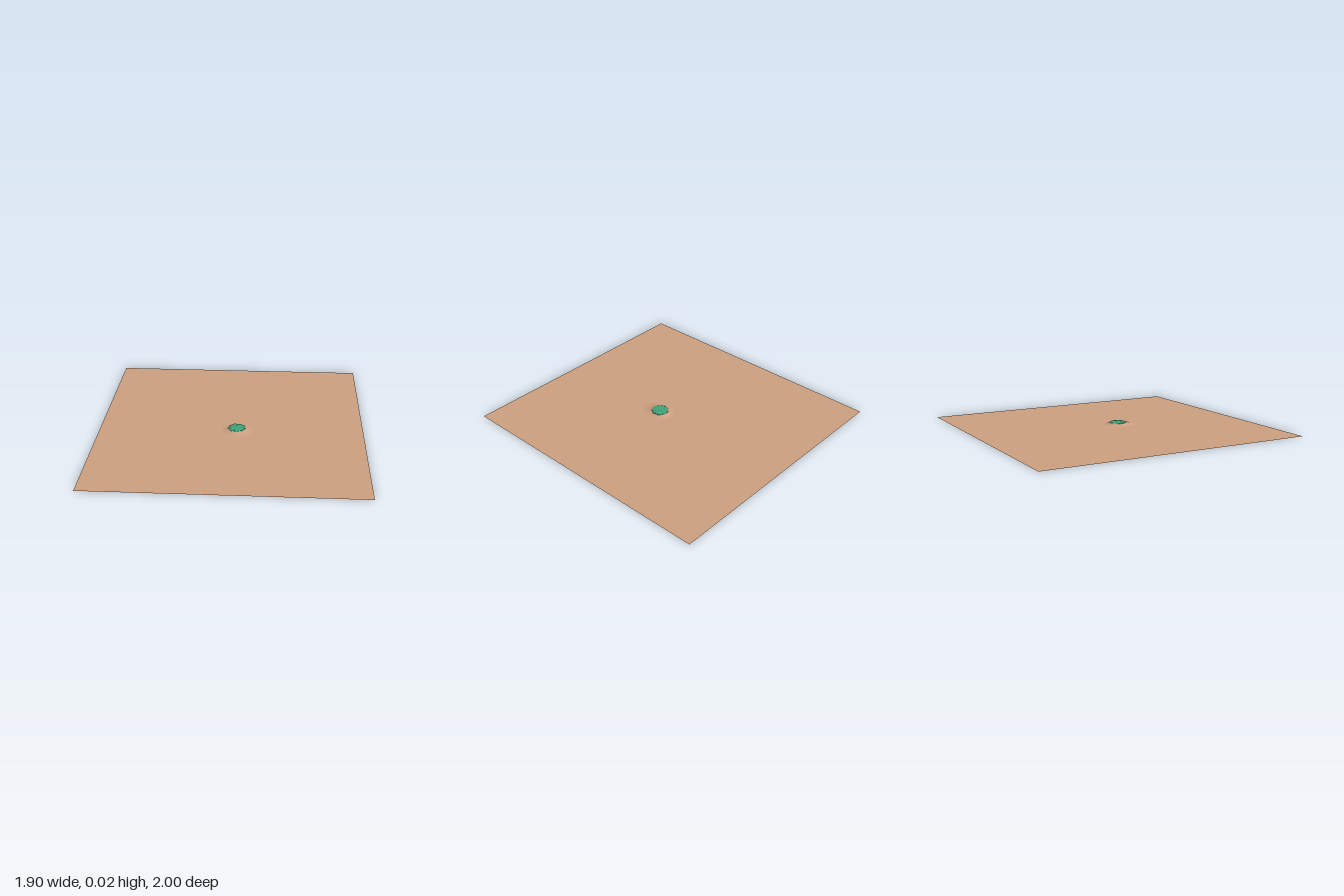
import * as THREE from 'three';

const clay = new THREE.MeshStandardMaterial({ color: 0xcda080, side: THREE.DoubleSide });
const green = new THREE.MeshStandardMaterial({ color: 0x3fa37a, side: THREE.DoubleSide, flatShading: true });
const base = { x: 0.045, z: 0.105, rx: 0.108, rz: 0.12 };

function part(name, geometry, material) {
  const mesh = new THREE.Mesh(geometry, material);
  mesh.name = name;
  return mesh;
}

// Moves every vertex of a geometry by a rule
function reshape(geometry, rule) {
  const p = geometry.attributes.position, v = new THREE.Vector3();
  for (let i = 0; i < p.count; i++) {
    rule(v.fromBufferAttribute(p, i));
    p.setXYZ(i, v.x, v.y, v.z);
  }
  geometry.computeVertexNormals();
  return geometry;
}

// Flat sheet with an opening where the mound rises
function sheetGeometry() {
  const shape = new THREE.Shape([[-0.95, -1], [0.95, -1], [0.95, 1], [-0.95, 1]].map(([x, y]) => new THREE.Vector2(x, y)));
  const hole = new THREE.Path();
  hole.absellipse(base.x, -base.z, base.rx, base.rz, 0, Math.PI * 2, true);
  shape.holes.push(hole);
  return new THREE.ShapeGeometry(shape, 24).rotateX(-Math.PI / 2);
}

// Low hollow mound, its upper rings leaning toward the back
function moundGeometry() {
  const profile = [[1, 0], [0.88, 0.002], [0.76, 0.005], [0.66, 0.009], [0.58, 0.013], [0.5, 0.016]];
  const geometry = new THREE.LatheGeometry(profile.map(([r, y]) => new THREE.Vector2(r, y)), 48);
  return reshape(geometry, (v) => {
    const lift = v.y / 0.016;
    v.x = base.x + v.x * base.rx - 0.004 * lift;
    v.z = base.z + v.z * base.rz - 0.018 * lift;
  });
}

// Thin lumpy cap with a scalloped rim
function capGeometry() {
  const profile = [[0.062, 0.013], [0.06, 0.017], [0.053, 0.02], [0.044, 0.0215], [0.034, 0.0225], [0.023, 0.023], [0.012, 0.0235], [0, 0.0235]];
  const geometry = new THREE.LatheGeometry(profile.map(([r, y]) => new THREE.Vector2(r, y)), 36);
  return reshape(geometry, (v) => {
    const angle = Math.atan2(v.z, v.x);
    const scallop = 1 + 0.04 * Math.sin(9 * angle);
    v.y += 0.0015 * Math.sin(v.x * 260) * Math.cos(v.z * 240);
    v.x = 0.041 + v.x * scallop;
    v.z = 0.087 + v.z * scallop;
  });
}

export function createModel() {
  const model = new THREE.Group();
  model.name = 'groundWithMound';
  model.add(
    part('groundSheet', sheetGeometry(), clay),
    part('mound', moundGeometry(), clay),
    part('lumpyCap', capGeometry(), green),
  );
  return model;
}
